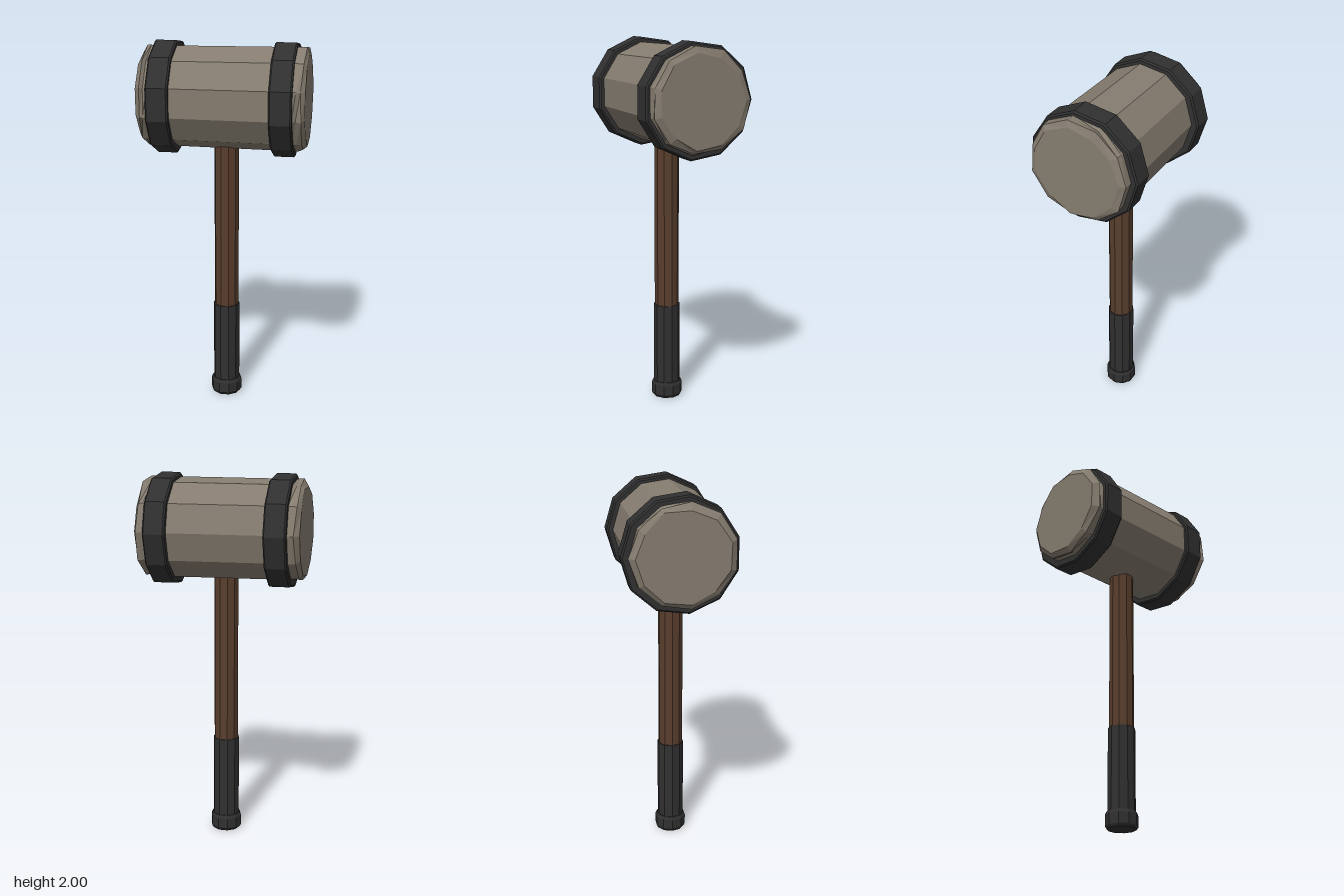
import * as THREE from 'three';

const mat = (name, color) => new THREE.MeshStandardMaterial({ name, color, flatShading: true });

// Faceted solid of revolution from [radius, height] pairs
function turned(points, sides, phiStart) {
  return new THREE.LatheGeometry(points.map(([r, y]) => new THREE.Vector2(r, y)), sides, phiStart);
}

function facet(geometry) {
  const flat = geometry.toNonIndexed();
  flat.computeVertexNormals();
  return flat;
}

// Small seeded generator for the chipped stone
function seeded(seed) {
  return () => {
    seed = (seed * 16807) % 2147483647;
    return seed / 2147483647;
  };
}

// Eleven-sided stone head along x, slightly tapered, with chipped rims
function stoneGeometry() {
  const sides = 11;
  const rings = [
    [0, -0.435], [0.238, -0.435], [0.27, -0.412], [0.27, -0.392], [0.268, -0.37],
    [0.274, 0.37], [0.274, 0.39], [0.27, 0.418], [0.238, 0.435], [0, 0.435],
  ];
  const geometry = turned(rings, sides, Math.PI);
  const random = seeded(29);
  const jitter = Array.from({ length: sides * rings.length }, random);
  const p = geometry.attributes.position;
  for (let i = 0; i <= sides; i++) {
    const side = i % sides;
    for (let j = 0; j < rings.length; j++) {
      const k = i * rings.length + j;
      const n = jitter[side * rings.length + j] - 0.5;
      let scale = 1;
      let shift = 0;
      if (j === 1 || j === 8) scale += n * 0.07;
      if (j === 2 || j === 7) { scale += n * 0.05; shift = n * 0.012; }
      // Notch behind the rim on some corners only
      if ((j === 3 || j === 6) && n > 0.1) scale = 0.95;
      p.setXYZ(k, p.getX(k) * scale, p.getY(k) + shift, p.getZ(k) * scale);
    }
  }
  return facet(geometry.rotateZ(-Math.PI / 2));
}

export function createModel() {
  const group = new THREE.Group();
  const stone = mat('stone', 0x857c6f);
  const iron = mat('dark iron', 0x303030);
  const wood = mat('wood', 0x593e2d);

  function add(name, geometry, material, x, y, z) {
    const mesh = new THREE.Mesh(geometry, material);
    mesh.name = name;
    mesh.position.set(x, y, z);
    group.add(mesh);
  }

  // Head and its two bevelled bands
  add('stoneHead', stoneGeometry(), stone, 0, 1.705, 0.006);
  const band = facet(turned([
    [0.24, -0.059], [0.293, -0.059], [0.302, -0.051],
    [0.302, 0.051], [0.293, 0.059], [0.24, 0.059],
  ], 11, Math.PI).rotateZ(-Math.PI / 2));
  add('bandLeft', band, iron, 0.315, 1.7, 0);
  add('bandRight', band, iron, -0.315, 1.7, 0);

  // Ten-sided handle, grip and pommel
  const start = Math.PI / 2;
  add('handle', facet(turned([[0.067, 0.5], [0.067, 1.5]], 10, start)), wood, 0, 0, 0.008);
  add('grip', facet(turned([[0.073, 0.05], [0.073, 0.54], [0, 0.54]], 10, start)), iron, 0, 0, 0.008);
  add('pommel', facet(turned([
    [0, 0], [0.077, 0], [0.086, 0.014], [0.086, 0.072], [0.078, 0.09], [0, 0.09],
  ], 10, start)), iron, 0, 0, 0.008);

  return group;
}
